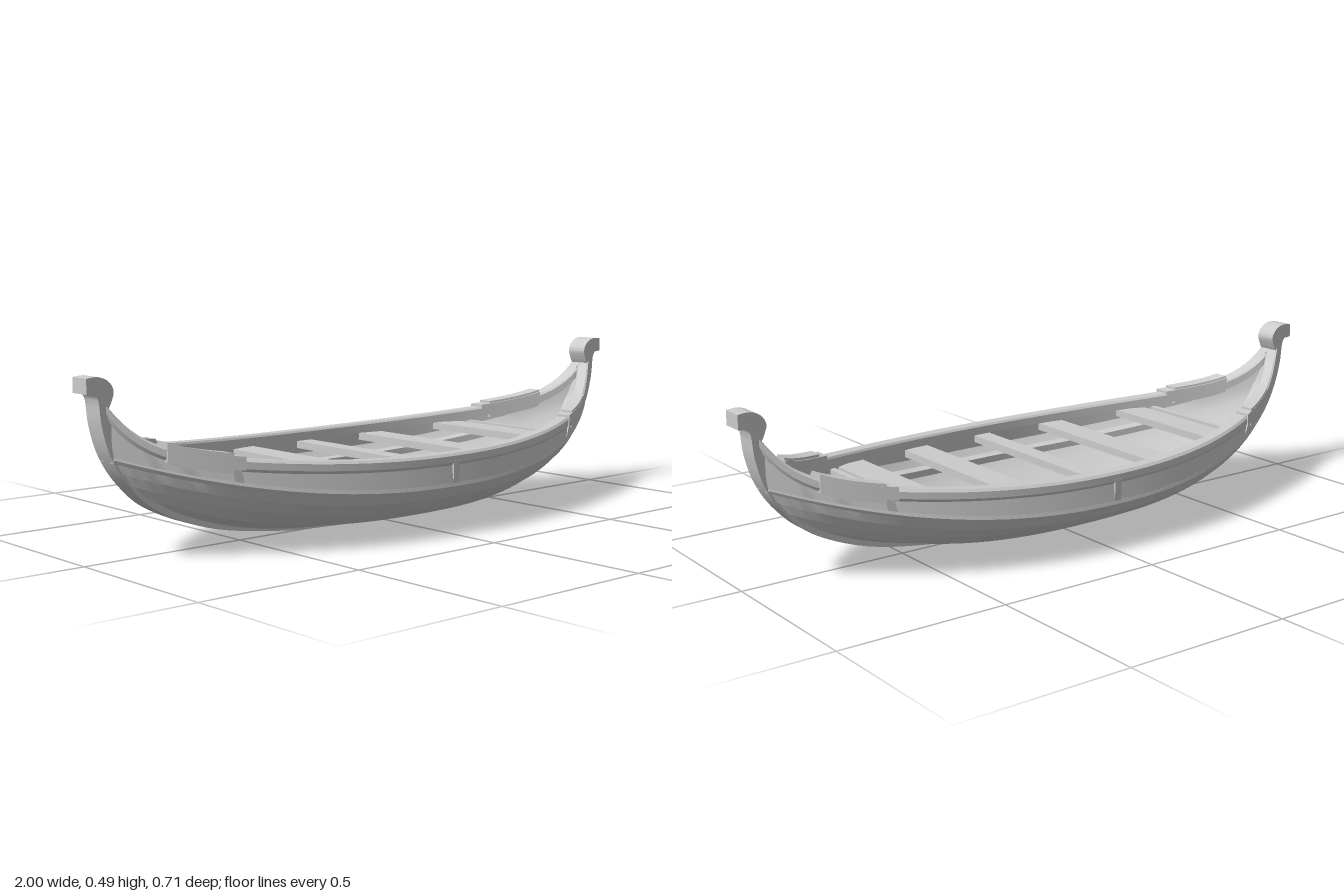
import * as THREE from 'three';
import { toCreasedNormals } from 'three/addons/utils/BufferGeometryUtils.js';

const material = new THREE.MeshStandardMaterial({ color: 0xcccccc, side: THREE.DoubleSide });

// Fore-and-aft hull lines: half width and height amidships, where they meet
// the stem, and how the height climbs (power q, late upsweep w)
const line = (z, y, xe, ye, q, w = 0) => ({ z, y, xe, ye, q, w });
const KEEL = line(0.03, 0.006, 0.79, 0.135, 3);
const GARBOARD = line(0.18, 0.036, 0.83, 0.165, 2.8);
const BILGE = line(0.26, 0.072, 0.87, 0.2, 2.6);
const CHINE = line(0.315, 0.107, 0.9, 0.235, 2.5);
const RUB = line(0.346, 0.142, 0.925, 0.275, 2.4);
const SHEER = line(0.35, 0.234, 0.945, 0.425, 2.2, 0.6);

// Point on a hull line at s in [-1, 1], with an offset across the boat
function at(l, s, dz = 0, dy = 0) {
  const a = Math.abs(s);
  const rise = (1 - l.w) * a ** l.q + l.w * a ** 14;
  const z = 0.03 + (l.z - 0.03) * (1 - a ** 2.1) + dz;
  return [s * l.xe, l.y + (l.ye - l.y) * rise + dy, Math.max(z, 0)];
}

// Loft along the boat through rows of [line, dz, dy]; closed sections get caps
function loft(rows, s0 = -1, s1 = 1, closed = false, n = 56) {
  const pos = [], idx = [], m = rows.length;
  const t0 = Math.asin(s0), t1 = Math.asin(s1);
  for (let i = 0; i <= n; i++) {
    const s = Math.sin(t0 + (t1 - t0) * i / n);
    for (const [l, dz, dy] of rows) pos.push(...at(l, s, dz, dy));
  }
  for (let i = 0; i < n; i++) {
    for (let j = 0; j < (closed ? m : m - 1); j++) {
      const a = i * m + j, c = i * m + (j + 1) % m;
      idx.push(a, a + m, c, c, a + m, c + m);
    }
  }
  if (closed) {
    for (let j = 1; j < m - 1; j++) {
      idx.push(0, j, j + 1, n * m, n * m + j + 1, n * m + j);
    }
  }
  const g = new THREE.BufferGeometry();
  g.setAttribute('position', new THREE.Float32BufferAttribute(pos, 3));
  g.setIndex(idx);
  return toCreasedNormals(g, 0.45);
}

// Rectangular section around a hull line
const band = (l, zIn, zOut, yLow, yHigh) =>
  [[l, zIn, yLow], [l, zOut, yLow], [l, zOut, yHigh], [l, zIn, yHigh]];

export function createModel() {
  const boat = new THREE.Group();
  boat.name = 'rowingBoat';
  const add = (name, geometry) => {
    const mesh = new THREE.Mesh(geometry, material);
    mesh.name = name;
    boat.add(mesh);
    return mesh;
  };
  // The boat is alike end for end, so a half turn makes the opposite part
  const addPair = (name, geometry) => {
    add(name + 'A', geometry);
    add(name + 'B', geometry).rotation.y = Math.PI;
  };

  // Lapped outer planking, over the top, and down the inner lining
  const strakes = [GARBOARD, BILGE, CHINE, RUB];
  const section = [[KEEL, -0.03, 0], [KEEL, 0, 0]];
  for (const l of strakes) section.push([l, 0, 0.004], [l, 0.006, -0.002]);
  section.push([SHEER, -0.008, -0.01], [SHEER, -0.03, -0.01]);
  for (const l of [...strakes].reverse()) section.push([l, -0.022, 0.018]);
  section.push([KEEL, -0.015, 0.022], [KEEL, -0.03, 0.022]);
  addPair('hullSide', loft(section));

  // Gunwale, rubbing rail and inner stringer
  addPair('gunwale', loft([
    [SHEER, -0.045, -0.03], [SHEER, -0.004, -0.034], [SHEER, 0.002, -0.026],
    [SHEER, 0.002, -0.007], [SHEER, -0.005, 0], [SHEER, -0.04, 0], [SHEER, -0.045, -0.006],
  ], -1, 1, true));
  addPair('rubbingRail', loft([
    [RUB, -0.015, -0.012], [RUB, 0.002, -0.01], [RUB, 0.007, -0.002],
    [RUB, 0.005, 0.008], [RUB, -0.015, 0.012],
  ], -1, 1, true));
  addPair('stringer', loft(band(CHINE, -0.055, -0.015, 0.015, 0.035), -0.74, 0.74, true));

  // Upright battens on the top strake, and raised caps near the ends
  for (const s of [-0.7, 0, 0.7]) {
    addPair('batten', loft([
      [RUB, -0.015, 0.005], [RUB, 0.005, 0.005], [SHEER, 0.003, -0.02], [SHEER, -0.015, -0.02],
    ], s - 0.012, s + 0.012, true, 2));
  }
  for (const s of [-0.785, 0.785]) {
    addPair('gunwaleCap', loft(band(SHEER, -0.04, 0.005, -0.04, 0.014), s - 0.08, s + 0.08, true, 10));
    addPair('gunwaleCapEnd', loft(band(SHEER, -0.045, 0.006, -0.03, 0.007),
      s - (s > 0 ? 0.11 : 0.08), s + (s > 0 ? 0.08 : 0.11), true, 10));
  }

  // Thwarts cut to the taper of the hull
  const thwart = (name, x0, x1, drop, thick) => {
    const z0 = at(SHEER, x0 / SHEER.xe, -0.025)[2];
    const z1 = at(SHEER, x1 / SHEER.xe, -0.025)[2];
    const shape = new THREE.Shape();
    shape.moveTo(x0, -z0).lineTo(x1, -z1).lineTo(x1, z1).lineTo(x0, z0).closePath();
    const g = new THREE.ExtrudeGeometry(shape, { depth: thick, bevelEnabled: false });
    g.rotateX(-Math.PI / 2);
    const y = at(SHEER, (x0 + x1) / 2 / SHEER.xe)[1] - drop;
    g.translate(0, y - thick, 0);
    return g;
  };
  add('middleThwart', thwart('middleThwart', -0.03, 0.026, 0.035, 0.022));
  addPair('innerThwart', thwart('innerThwart', 0.215, 0.3, 0.035, 0.022));
  addPair('endThwart', thwart('endThwart', 0.485, 0.58, 0.035, 0.022));
  addPair('endFrame', thwart('endFrame', 0.597, 0.615, 0.04, 0.025));

  // Keel running up into a curled stem post, one half of the boat each
  const v = (pts) => pts.map(([x, y]) => new THREE.Vector2(x, y));
  const stem = new THREE.Shape();
  stem.moveTo(0, 0);
  stem.splineThru(v([[0.2, 0.004], [0.4, 0.017], [0.62, 0.054], [0.79, 0.122], [0.88, 0.2],
    [0.932, 0.28], [0.957, 0.36], [0.965, 0.425], [0.975, 0.445]]));
  stem.lineTo(1, 0.447);
  stem.lineTo(1, 0.488);
  stem.splineThru(v([[0.965, 0.49], [0.935, 0.477], [0.92, 0.452], [0.927, 0.425], [0.94, 0.4]]));
  stem.splineThru(v([[0.926, 0.36], [0.897, 0.285], [0.85, 0.22], [0.76, 0.15], [0.6, 0.085],
    [0.4, 0.046], [0.2, 0.03], [0, 0.026]]));
  stem.closePath();
  const post = new THREE.ExtrudeGeometry(stem, { depth: 0.066, bevelEnabled: false, curveSegments: 5 });
  post.translate(0, 0, -0.033);
  addPair('keelAndStem', toCreasedNormals(post, 0.6));

  return boat;
}
